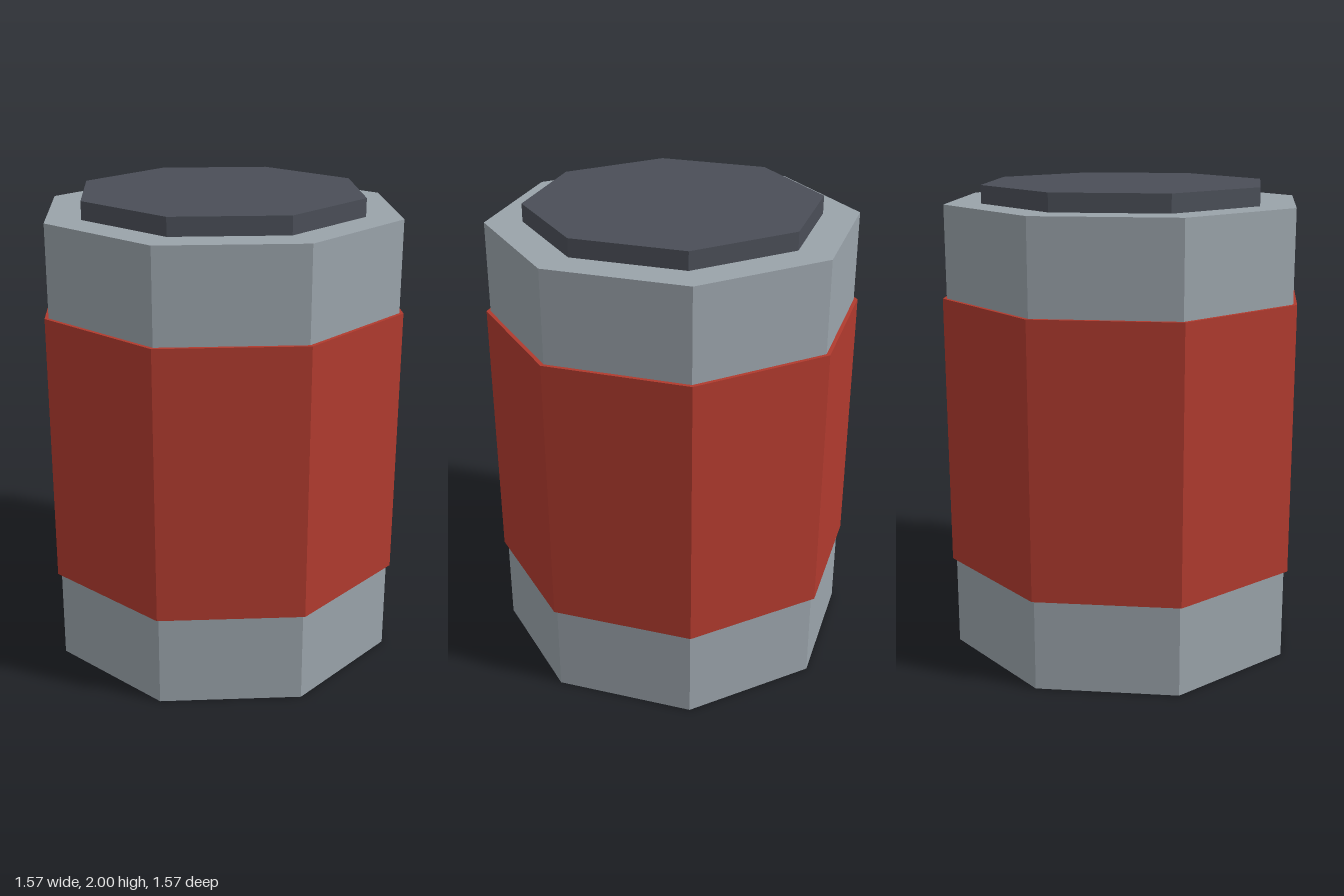
import * as THREE from 'three';

const material = (name, color) => {
  const m = new THREE.MeshStandardMaterial({ color });
  m.name = name;
  m.flatShading = true;
  return m;
};

// Upright octagonal prism with a corner facing the front
function octagon(name, radius, bottom, top, mat) {
  const geometry = new THREE.CylinderGeometry(radius, radius, top - bottom, 8);
  const mesh = new THREE.Mesh(geometry, mat);
  mesh.name = name;
  mesh.position.y = (bottom + top) / 2;
  return mesh;
}

export function createModel() {
  const grey = material('grey metal', 0x9aa3aa);
  const red = material('red band', 0xb03a2e);
  const dark = material('dark lid', 0x4a4e57);

  const model = new THREE.Group();
  model.name = 'canister';
  model.add(
    octagon('body', 0.77, 0, 1.925, grey),
    octagon('band', 0.787, 0.39, 1.54, red),
    octagon('lid', 0.615, 1.925, 2, dark),
  );
  return model;
}
